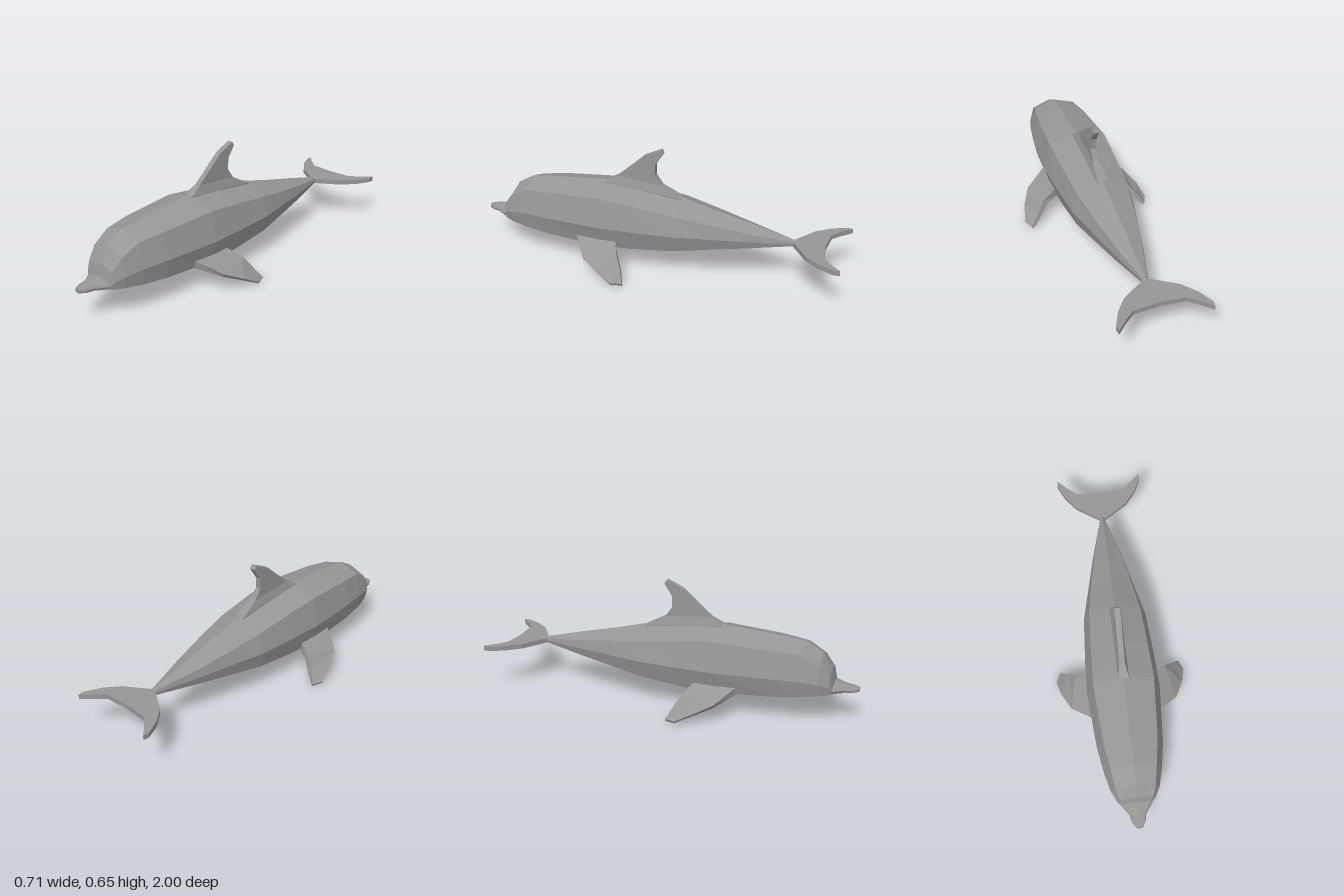
import * as THREE from 'three';

const material = new THREE.MeshStandardMaterial({ color: 0x969696, flatShading: true });

// Closed solid through rings of [x, y, z] points, capped at both ends
function loft(rings) {
  const n = rings[0].length, last = (rings.length - 1) * n, index = [];
  for (let i = 0; i < rings.length - 1; i++) {
    for (let j = 0; j < n; j++) {
      const a = i * n + j, b = i * n + (j + 1) % n;
      index.push(a, b, b + n, a, b + n, a + n);
    }
  }
  for (let j = 1; j < n - 1; j++) index.push(0, j + 1, j, last, last + j, last + j + 1);
  const g = new THREE.BufferGeometry();
  g.setAttribute('position', new THREE.Float32BufferAttribute(rings.flat(2), 3));
  g.setIndex(index);
  g.computeVertexNormals();
  return g;
}

function addMesh(group, name, geometry) {
  const mesh = new THREE.Mesh(geometry, material);
  mesh.name = name;
  group.add(mesh);
}

// Eight-sided body: z, top y, shoulder x y, side x y, lower x y, keel y
function bodyGeometry() {
  const stations = [
    [1.0, 0.187, 0.012, 0.186, 0.015, 0.177, 0.012, 0.167, 0.164],
    [0.97, 0.19, 0.03, 0.187, 0.034, 0.177, 0.032, 0.166, 0.158],
    [0.93, 0.196, 0.036, 0.189, 0.044, 0.177, 0.038, 0.164, 0.148],
    [0.875, 0.205, 0.072, 0.194, 0.083, 0.178, 0.075, 0.162, 0.135],
    [0.86, 0.27, 0.086, 0.25, 0.098, 0.2, 0.09, 0.16, 0.13],
    [0.81, 0.35, 0.102, 0.312, 0.125, 0.22, 0.113, 0.157, 0.118],
    [0.72, 0.4, 0.116, 0.362, 0.148, 0.235, 0.134, 0.148, 0.1],
    [0.58, 0.415, 0.138, 0.376, 0.172, 0.24, 0.15, 0.137, 0.082],
    [0.28, 0.44, 0.157, 0.393, 0.193, 0.24, 0.16, 0.12, 0.055],
    [0.1, 0.425, 0.15, 0.374, 0.185, 0.24, 0.156, 0.128, 0.068],
    [-0.13, 0.397, 0.137, 0.342, 0.168, 0.24, 0.143, 0.148, 0.1],
    [-0.31, 0.35, 0.107, 0.31, 0.125, 0.237, 0.108, 0.17, 0.135],
    [-0.51, 0.303, 0.068, 0.274, 0.077, 0.232, 0.067, 0.192, 0.17],
    [-0.74, 0.245, 0.01, 0.237, 0.012, 0.227, 0.01, 0.216, 0.211],
  ];
  return loft(stations.map(([z, top, ux, uy, mx, my, lx, ly, keel]) => [
    [0, top, z], [ux, uy, z], [mx, my, z], [lx, ly, z],
    [0, keel, z], [-lx, ly, z], [-mx, my, z], [-ux, uy, z],
  ]));
}

// Swept dorsal fin flared at its foot: leading z y, trailing z y, half width
function dorsalGeometry() {
  const sections = [
    [0.28, 0.4, -0.13, 0.36, 0.028],
    [0.285, 0.436, -0.13, 0.394, 0.028],
    [0.22, 0.475, -0.025, 0.452, 0.015],
    [0.15, 0.535, 0.012, 0.505, 0.015],
    [0.07, 0.607, 0.01, 0.565, 0.015],
    [-0.02, 0.648, -0.032, 0.628, 0.015],
  ];
  return loft(sections.map(([lz, ly, tz, ty, w]) => [[-w, ly, lz], [w, ly, lz], [w, ty, tz], [-w, ty, tz]]));
}

// Crescent tail fluke, flat in the horizontal plane
function flukeGeometry() {
  const half = [[0.012, -0.73], [0.14, -0.815], [0.2, -0.89], [0.238, -0.97], [0.234, -1.0], [0.19, -0.955], [0.13, -0.905]];
  const mirrored = half.map(([x, z]) => [-x, z]).reverse();
  const shape = new THREE.Shape([...half, [0, -0.895], ...mirrored].map(p => new THREE.Vector2(...p)));
  return new THREE.ExtrudeGeometry(shape, { depth: 0.026, bevelEnabled: false })
    .rotateX(Math.PI / 2).translate(0, 0.239, 0);
}

// Curved flipper: leading edge z, outer x y, inner x y, then the trailing edge likewise
function flipperGeometry(side) {
  const sections = [
    [0.42, 0.14, 0.175, 0.13, 0.135, 0.2, 0.14, 0.175, 0.13, 0.13],
    [0.4, 0.17, 0.163, 0.16, 0.125, 0.18, 0.17, 0.163, 0.16, 0.118],
    [0.32, 0.285, 0.105, 0.27, 0.087, 0.145, 0.245, 0.128, 0.222, 0.103],
    [0.225, 0.333, 0.062, 0.32, 0.049, 0.112, 0.287, 0.07, 0.27, 0.054],
    [0.14, 0.355, 0.021, 0.35, 0.009, 0.085, 0.333, 0.016, 0.322, 0.001],
  ];
  return loft(sections.map(([lz, lox, loy, lix, liy, tz, tox, toy, tix, tiy]) => {
    const ring = [
      [side * tox, toy, tz], [side * lox, loy, lz],
      [side * lix, liy, lz], [side * tix, tiy, tz],
    ];
    return side > 0 ? ring : ring.reverse();
  }));
}

export function createModel() {
  const model = new THREE.Group();
  model.name = 'dolphin';
  addMesh(model, 'body', bodyGeometry());
  addMesh(model, 'dorsalFin', dorsalGeometry());
  addMesh(model, 'tailFluke', flukeGeometry());
  addMesh(model, 'leftFlipper', flipperGeometry(1));
  addMesh(model, 'rightFlipper', flipperGeometry(-1));
  return model;
}
